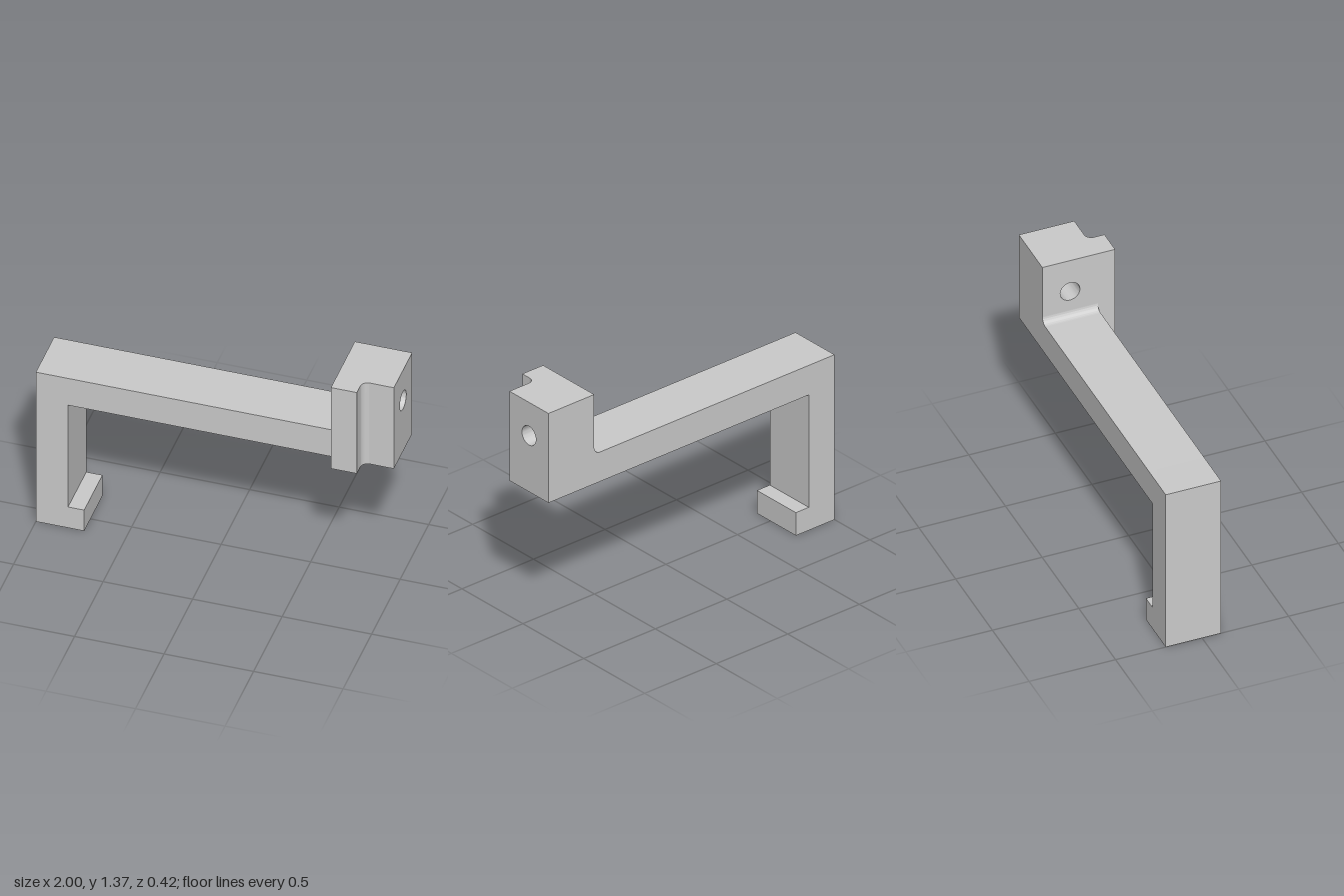
import * as THREE from 'three';
import { toCreasedNormals } from 'three/addons/utils/BufferGeometryUtils.js';

const BACK = -0.21, FRONT = 0.11, TAB_FRONT = 0.21;   // depth planes
const BLOCK_X = 0.68, UNDERSIDE = 0.825, TOP = 1.37;  // end block
const FILLET = 0.04;

export function createModel() {
  const group = new THREE.Group();
  group.name = 'hookBracket';
  const material = new THREE.MeshStandardMaterial({ color: 0xcccccc });

  const extrude = (shape, depth) => toCreasedNormals(
    new THREE.ExtrudeGeometry(shape, { depth, bevelEnabled: false, curveSegments: 24 }), 0.6);
  const add = (name, geometry) => {
    const mesh = new THREE.Mesh(geometry, material);
    mesh.name = name;
    group.add(mesh);
  };

  // Hooked arm: foot, leg and beam in one side profile, filleted into the block
  const arm = new THREE.Shape();
  arm.moveTo(-1, 0);
  arm.lineTo(-0.73, 0);
  arm.lineTo(-0.73, 0.14);
  arm.lineTo(-0.82, 0.14);
  arm.lineTo(-0.82, UNDERSIDE);
  arm.lineTo(BLOCK_X, UNDERSIDE);
  arm.lineTo(BLOCK_X, 1.005 + FILLET);
  arm.absarc(BLOCK_X - FILLET, 1.005 + FILLET, FILLET, 0, -Math.PI / 2, true);
  arm.lineTo(-1, 1.005);
  arm.closePath();
  add('hookedArm', extrude(arm, FRONT - BACK).translate(0, 0, BACK));

  // End block: profile in (-z, y) with a through hole, extruded along x
  const block = new THREE.Shape();
  block.moveTo(-FRONT, UNDERSIDE);
  block.lineTo(-BACK, UNDERSIDE);
  block.lineTo(-BACK, TOP);
  block.lineTo(-FRONT, TOP);
  block.closePath();
  const hole = new THREE.Path();
  hole.absarc(0.05, 1.167, 0.057, 0, Math.PI * 2, true);
  block.holes.push(hole);
  add('endBlock', extrude(block, 1 - BLOCK_X).rotateY(Math.PI / 2).translate(BLOCK_X, 0, 0));

  // Front tab: profile in (x, -z) with a fillet on its outer side, extruded upward
  const tab = new THREE.Shape();
  const tabX = 0.825;
  tab.moveTo(BLOCK_X, -FRONT);
  tab.lineTo(BLOCK_X, -TAB_FRONT);
  tab.lineTo(tabX, -TAB_FRONT);
  tab.lineTo(tabX, -FRONT - FILLET);
  tab.absarc(tabX + FILLET, -FRONT - FILLET, FILLET, Math.PI, Math.PI / 2, true);
  tab.closePath();
  add('frontTab', extrude(tab, TOP - UNDERSIDE).rotateX(-Math.PI / 2).translate(0, UNDERSIDE, 0));

  return group;
}
